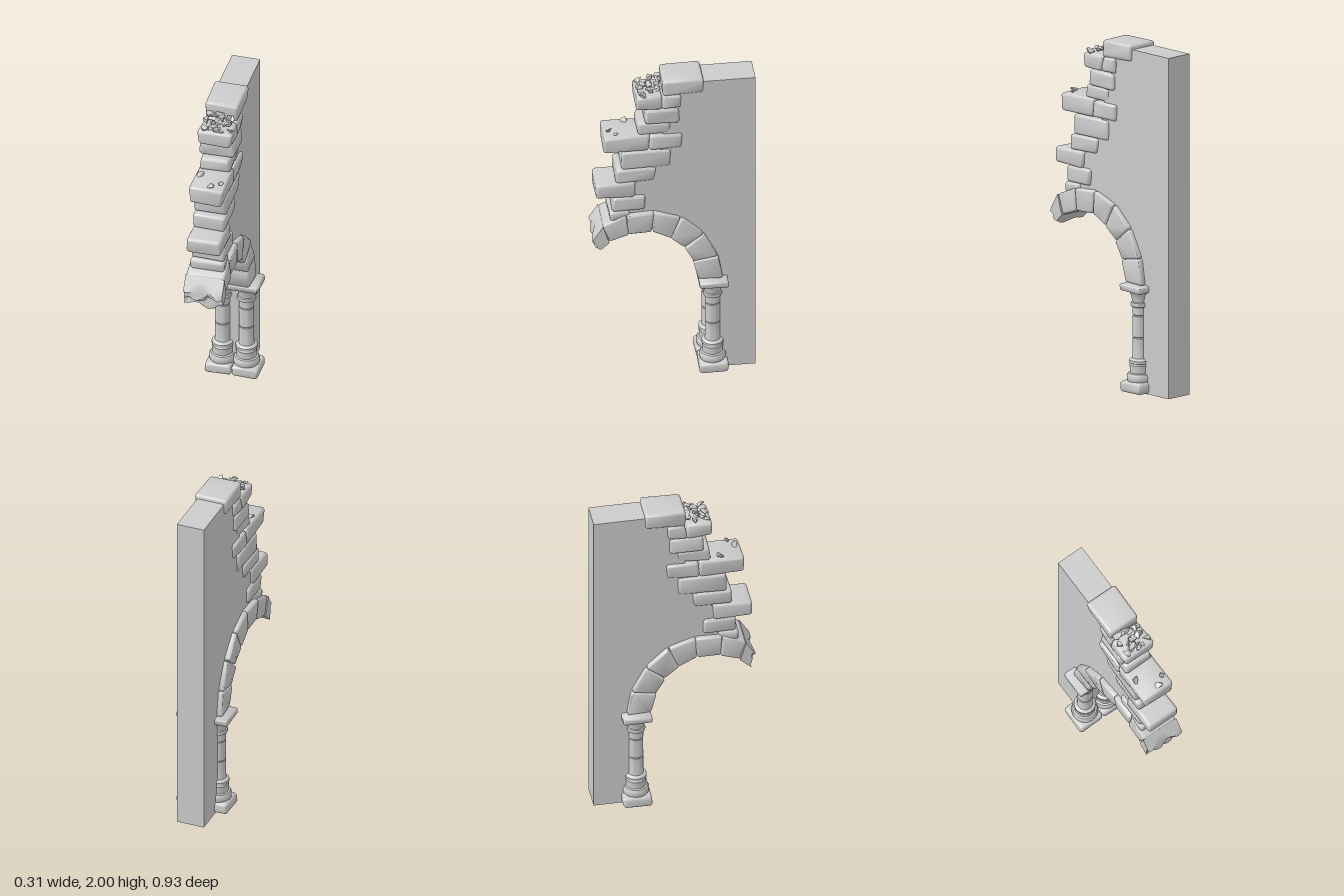
import * as THREE from 'three';
import { mergeVertices, toCreasedNormals } from 'three/addons/utils/BufferGeometryUtils.js';
import { RoundedBoxGeometry } from 'three/addons/geometries/RoundedBoxGeometry.js';
import { ConvexGeometry } from 'three/addons/geometries/ConvexGeometry.js';

const material = new THREE.MeshStandardMaterial({ color: 0xcccccc });
const chipMaterial = new THREE.MeshStandardMaterial({ color: 0xcccccc, flatShading: true });

let seed = 7;
const random = () => {
  seed = (seed * 16807) % 2147483647;
  return seed / 2147483647;
};
const jitter = (amount) => (random() * 2 - 1) * amount;

function add(parent, name, geometry, mat = material) {
  const mesh = new THREE.Mesh(geometry, mat);
  mesh.name = name;
  parent.add(mesh);
  return mesh;
}

// Smooth faces, sharp above the given angle
function finish(geometry, angle = 0.7) {
  geometry.deleteAttribute('uv');
  geometry.deleteAttribute('normal');
  return toCreasedNormals(mergeVertices(geometry, 1e-5), angle);
}

// Worn stone: a rounded box warped onto four (z, y) corners, given as
// low back, low front, high front, high back
function stoneGeometry(corners, halfWidth, radius = 0.016, wear = 0.004) {
  const [a, b, c, d] = corners.map(([z, y]) => new THREE.Vector2(z, y));
  const depth = (a.distanceTo(b) + c.distanceTo(d)) / 2;
  const height = (a.distanceTo(d) + b.distanceTo(c)) / 2;
  const geometry = new RoundedBoxGeometry(halfWidth * 2, height, depth, 3, radius);
  const p = geometry.attributes.position;
  const phase = random() * 6;
  for (let i = 0; i < p.count; i++) {
    const x = p.getX(i);
    const u = p.getZ(i) / depth + 0.5;
    const v = p.getY(i) / height + 0.5;
    const low = a.clone().lerp(b, u);
    const q = low.lerp(d.clone().lerp(c, u), v);
    const side = Math.sin(u * 5 + v * 4 + phase) * wear;
    p.setXYZ(i, x * (1 + side / halfWidth),
      q.y + Math.sin(x * 25 + u * 4 + phase) * wear * 0.6,
      q.x + Math.sin(x * 30 + v * 4 + phase) * wear * 0.6);
  }
  return finish(geometry, 0.9);
}

function buildWall(group) {
  const outline = [
    [-0.465, 0], [-0.22, 0], [-0.22, 0.62], [-0.2, 0.76], [-0.12, 0.9], [-0.02, 1.0],
    [0.115, 1.045], [0.26, 1.04], [0.3, 1.1], [0.22, 1.15], [0.25, 1.27], [0.15, 1.38],
    [0.1, 1.45], [0.06, 1.6], [0.06, 1.7], [0, 1.75], [0, 1.95], [-0.1, 1.975], [-0.465, 1.975],
  ];
  const shape = new THREE.Shape(outline.map(([z, y]) => new THREE.Vector2(z, y)));
  const geometry = new THREE.ExtrudeGeometry(shape, { depth: 0.164, bevelEnabled: false });
  geometry.translate(0, 0, -0.082).rotateY(-Math.PI / 2);
  add(group, 'wall', geometry);
}

function buildBrokenEdge(group) {
  // back z, front z, bottom, top, half width
  const blocks = [
    [-0.165, 0.062, 1.9, 1.998, 0.096],
    [0.065, 0.215, 1.81, 1.902, 0.098],
    [-0.045, 0.065, 1.812, 1.9, 0.099],
    [-0.03, 0.163, 1.713, 1.81, 0.1],
    [0.02, 0.2, 1.638, 1.713, 0.088],
    [0.14, 0.402, 1.53, 1.638, 0.097],
    [-0.045, 0.14, 1.538, 1.632, 0.099],
    [0.02, 0.297, 1.41, 1.528, 0.095],
    [0.105, 0.327, 1.32, 1.41, 0.094],
    [0.22, 0.442, 1.225, 1.317, 0.099],
    [0.16, 0.352, 1.128, 1.222, 0.1],
    [0.25, 0.367, 1.06, 1.128, 0.098],
  ];
  const edge = new THREE.Group();
  edge.name = 'brokenEdge';
  group.add(edge);
  for (const [z0, z1, y0, y1, halfWidth] of blocks) {
    const corners = [[z0, y0], [z1, y0], [z1, y1], [z0, y1]]
      .map(([z, y]) => [z + jitter(0.006), y + jitter(0.003)]);
    add(edge, 'edgeBlock', stoneGeometry(corners, halfWidth, 0.018));
  }
}

function buildArch(group) {
  const inner = [[-0.14, 0.625], [-0.11, 0.755], [-0.06, 0.85], [0.02, 0.93],
    [0.125, 0.975], [0.26, 0.975], [0.37, 0.93], [0.437, 0.868]];
  const outer = [[-0.275, 0.625], [-0.25, 0.78], [-0.165, 0.94], [-0.04, 1.06],
    [0.115, 1.11], [0.27, 1.105], [0.405, 1.045], [0.462, 0.955]];
  const arch = new THREE.Group();
  arch.name = 'arch';
  group.add(arch);
  for (let i = 0; i < 6; i++) {
    add(arch, 'archStone',
      stoneGeometry([inner[i], inner[i + 1], outer[i + 1], outer[i]], 0.112, 0.014));
  }

  // Snapped stone at the free end, with an uneven hollow break
  const geometry = new THREE.BoxGeometry(1, 1, 1, 8, 6, 2);
  const p = geometry.attributes.position;
  for (let i = 0; i < p.count; i++) {
    const x = p.getX(i);
    const v = p.getY(i) + 0.5;
    const u = p.getZ(i) + 0.5;
    const reach = u * (0.86 + 0.16 * Math.sin(x * 9 + v * 5) + 0.12 * Math.cos(v * 9 - x * 4));
    const mix = (k) => THREE.MathUtils.lerp(
      THREE.MathUtils.lerp(inner[6][k], inner[7][k], reach),
      THREE.MathUtils.lerp(outer[6][k], outer[7][k], reach), v);
    p.setXYZ(i, x * 0.228, mix(1), mix(0));
  }
  add(arch, 'brokenArchStone', finish(geometry, 0.6));
}

function buildColumns(group) {
  // radius, height from base mouldings to capital
  const profile = [
    [0, 0.06], [0.068, 0.06], [0.075, 0.075], [0.076, 0.098], [0.068, 0.112], [0.058, 0.116],
    [0.058, 0.13], [0.06, 0.16], [0.055, 0.168], [0.062, 0.172], [0.062, 0.188], [0.054, 0.196],
    [0.045, 0.2], [0.043, 0.21], [0.043, 0.316], [0.04, 0.32], [0.043, 0.324], [0.042, 0.444],
    [0.039, 0.448], [0.043, 0.452], [0.043, 0.495], [0.052, 0.5], [0.055, 0.51], [0.052, 0.522],
    [0.046, 0.526], [0.048, 0.55], [0.056, 0.572], [0.067, 0.588], [0.068, 0.6], [0, 0.6],
  ].map(([r, y]) => new THREE.Vector2(r, y));
  const z0 = -0.305, z1 = -0.14;
  for (const side of [-1, 1]) {
    const column = new THREE.Group();
    column.name = side > 0 ? 'leftColumn' : 'rightColumn';
    column.position.x = side * 0.07;
    group.add(column);
    add(column, 'columnShaft', finish(new THREE.LatheGeometry(profile, 28), 0.6))
      .position.z = -0.222;
    add(column, 'plinth',
      stoneGeometry([[z0, 0.003], [z1, 0.003], [z1, 0.068], [z0, 0.068]], 0.077, 0.018, 0.002))
      .position.x = side * 0.008;
  }
  add(group, 'capitalSlab',
    stoneGeometry([[z0, 0.588], [z1, 0.588], [z1, 0.628], [z0, 0.628]], 0.155, 0.01, 0.002));
}

function buildRubble(group) {
  const rubble = new THREE.Group();
  rubble.name = 'rubble';
  group.add(rubble);
  const chip = (x, y, z, size) => {
    const points = [];
    for (let i = 0; i < 10; i++) {
      points.push(new THREE.Vector3(jitter(1), jitter(1), jitter(1)).normalize()
        .multiply(new THREE.Vector3(size, size * 0.6, size * 0.85)));
    }
    const mesh = add(rubble, 'stoneChip', new ConvexGeometry(points), chipMaterial);
    mesh.position.set(x, y, z);
    mesh.rotation.set(jitter(0.4), jitter(3), jitter(0.4));
  };
  // Heap leaning against the top block
  for (let i = 0; i < 18; i++) {
    const t = (i % 6) / 5;
    chip(-0.065 + 0.13 * t + jitter(0.012), 1.94 - 0.013 * Math.floor(i / 6) - 0.01 * Math.abs(t - 0.5),
      0.085 + 0.043 * Math.floor(i / 6) + jitter(0.012), 0.02 + random() * 0.011);
  }
  chip(0, 1.95, 0.085, 0.035);
  // Loose chips on the ledge
  chip(-0.065, 1.65, 0.265, 0.026);
  chip(0.07, 1.648, 0.325, 0.018);
  chip(0.02, 1.65, 0.365, 0.026);
}

export function createModel() {
  seed = 7;
  const group = new THREE.Group();
  group.name = 'ruinedArch';
  buildWall(group);
  buildBrokenEdge(group);
  buildArch(group);
  buildColumns(group);
  buildRubble(group);
  return group;
}
